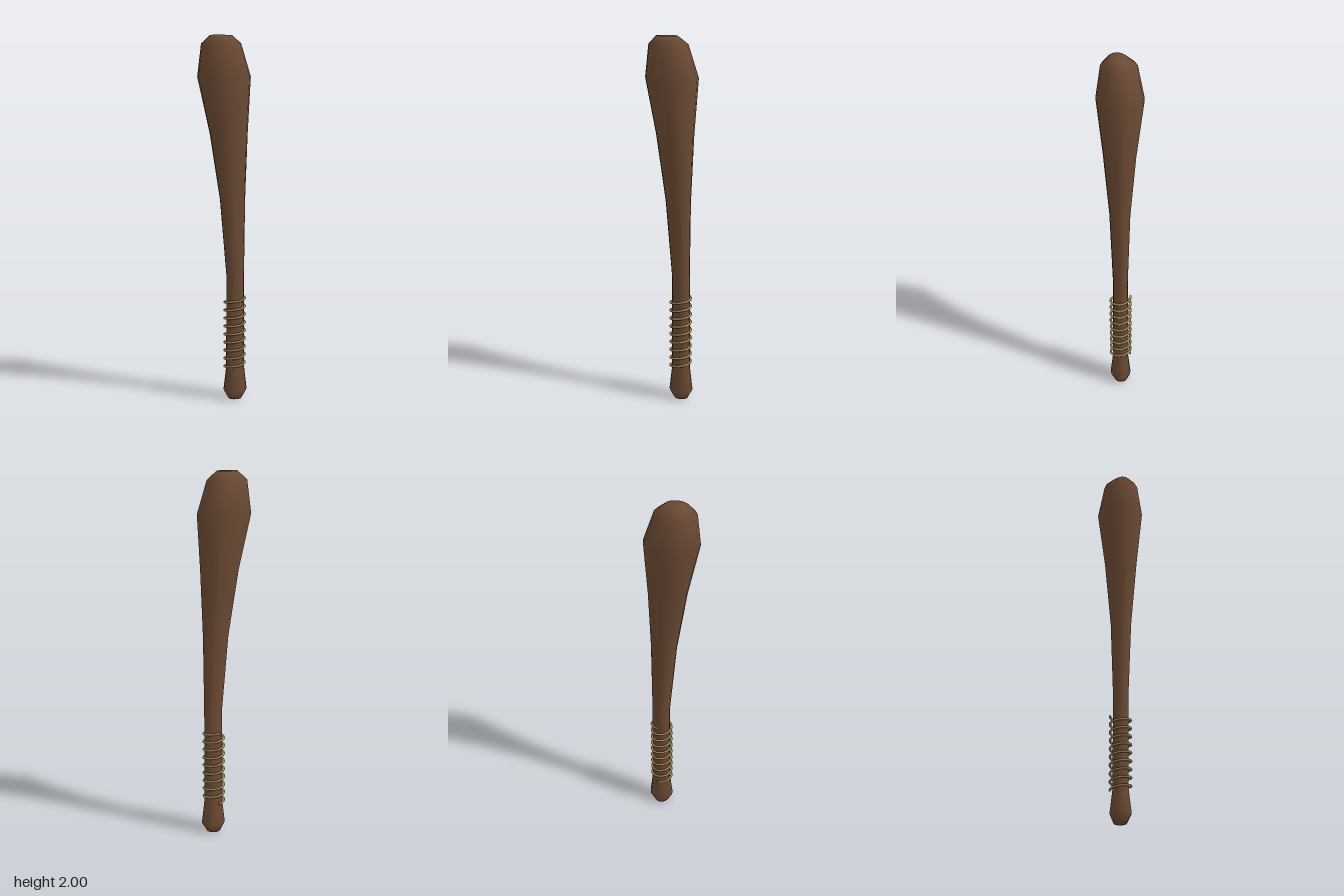
import * as THREE from 'three';

const SIDES = 13;

// Skin a stack of elliptical sections [y, xMin, xMax, zMin, zMax] into one smooth closed body
function loft(sections) {
  const pos = [], idx = [];
  for (const [y, x0, x1, z0, z1] of sections) {
    for (let i = 0; i < SIDES; i++) {
      const a = (i / SIDES) * Math.PI * 2;
      pos.push((x0 + x1) / 2 + Math.sin(a) * (x1 - x0) / 2, y, (z0 + z1) / 2 - Math.cos(a) * (z1 - z0) / 2);
    }
  }
  for (let r = 0; r < sections.length - 1; r++) {
    for (let i = 0; i < SIDES; i++) {
      const a = r * SIDES + i, b = r * SIDES + (i + 1) % SIDES;
      idx.push(a, a + SIDES, b, b, a + SIDES, b + SIDES);
    }
  }
  // End caps
  for (const r of [0, sections.length - 1]) {
    const [y, x0, x1, z0, z1] = sections[r];
    const c = pos.length / 3;
    pos.push((x0 + x1) / 2, y, (z0 + z1) / 2);
    for (let i = 0; i < SIDES; i++) {
      const a = r * SIDES + i, b = r * SIDES + (i + 1) % SIDES;
      if (r === 0) idx.push(c, a, b);
      else idx.push(c, b, a);
    }
  }
  const g = new THREE.BufferGeometry();
  g.setAttribute('position', new THREE.Float32BufferAttribute(pos, 3));
  g.setIndex(idx);
  g.computeVertexNormals();
  return g;
}

// Rising spiral that starts and ends at the back
class Helix extends THREE.Curve {
  constructor(center, radius, y0, y1, turns) {
    super();
    Object.assign(this, { center, radius, y0, y1, turns });
  }
  getPoint(t, target = new THREE.Vector3()) {
    const a = t * this.turns * Math.PI * 2;
    return target.set(
      this.center.x - Math.sin(a) * this.radius,
      this.y0 + (this.y1 - this.y0) * t,
      this.center.z - Math.cos(a) * this.radius
    );
  }
}

export function createModel() {
  const wood = new THREE.MeshStandardMaterial({ color: 0x6b4a34 });
  wood.name = 'brown wood';
  const cord = new THREE.MeshStandardMaterial({ color: 0xa08a5c });
  cord.name = 'tan cord';

  const group = new THREE.Group();
  group.name = 'woodenClub';

  // Club body: pommel, handle, leaning shaft and rounded head
  const body = new THREE.Mesh(loft([
    [0.00, 0.03, 0.105, -0.03, 0.04],
    [0.05, 0.00, 0.135, -0.05, 0.065],
    [0.18, 0.015, 0.12, -0.035, 0.05],
    [0.70, 0.015, 0.118, -0.033, 0.05],
    [1.12, -0.025, 0.122, -0.048, 0.065],
    [1.48, -0.083, 0.134, -0.083, 0.095],
    [1.78, -0.151, 0.151, -0.126, 0.126],
    [1.955, -0.132, 0.092, -0.092, 0.098],
    [2.00, -0.087, 0.037, -0.037, 0.056],
  ]), wood);
  body.name = 'clubBody';
  group.add(body);

  // Cord wound around the grip
  const path = new Helix(new THREE.Vector3(0.064, 0, 0.007), 0.056, 0.175, 0.585, 9);
  const wrap = new THREE.Mesh(new THREE.TubeGeometry(path, 216, 0.0065, 8, false), cord);
  wrap.name = 'gripCord';
  group.add(wrap);

  // Rounded cord ends
  for (const t of [0, 1]) {
    const end = new THREE.Mesh(new THREE.SphereGeometry(0.0065, 8, 6), cord);
    end.name = t ? 'cordEndTop' : 'cordEndBottom';
    end.position.copy(path.getPoint(t));
    group.add(end);
  }
  return group;
}
